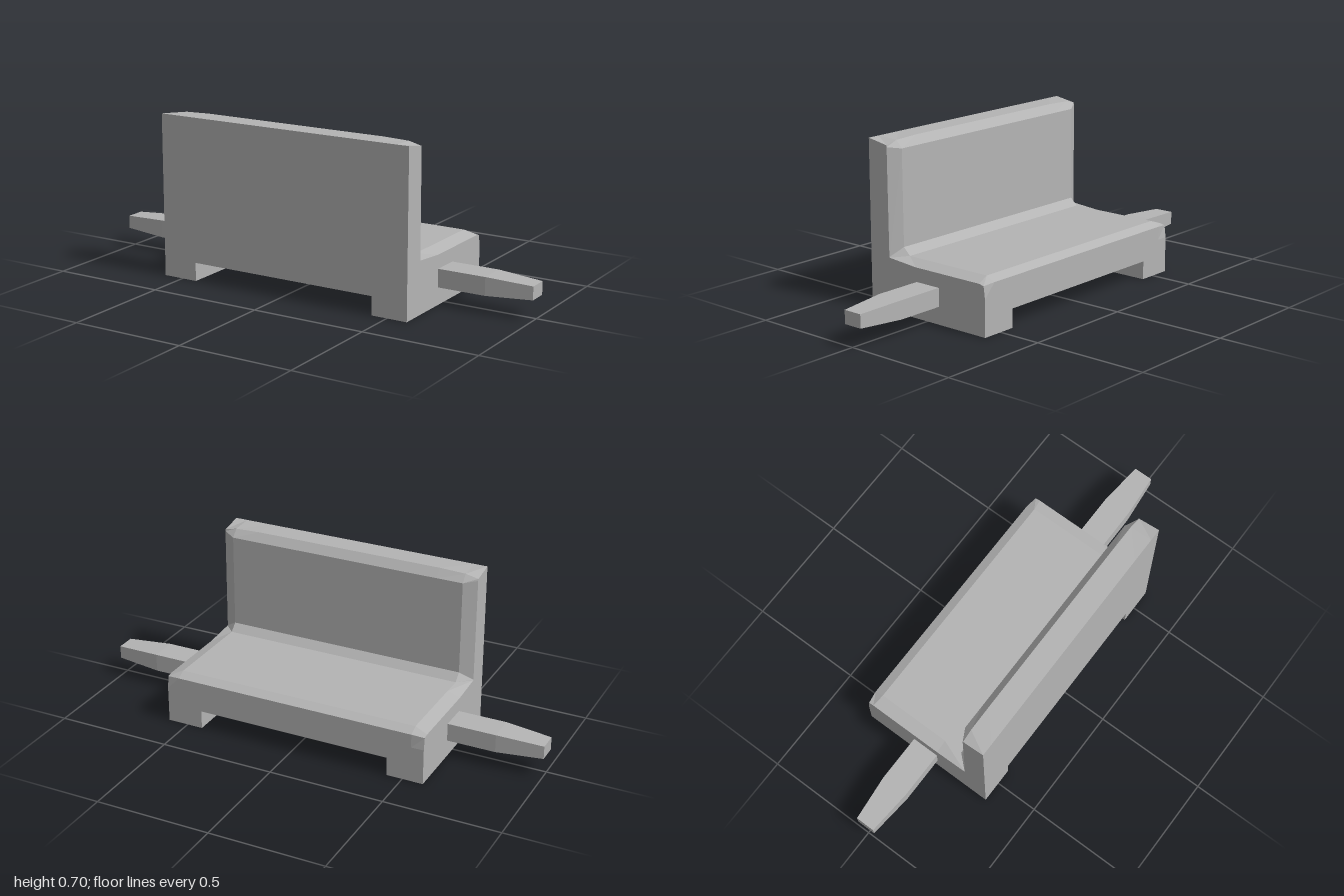
import * as THREE from 'three';

// Lofts sections [{x, profile: [[z, y], ...]}] along +x; profiles run clockwise seen from +x.
function loft(sections) {
  const pos = [];
  const put = (s, j) => pos.push(s.x, s.profile[j][1], s.profile[j][0]);
  const n = sections[0].profile.length;
  for (let i = 0; i < sections.length - 1; i++) {
    const p = sections[i], q = sections[i + 1];
    for (let j = 0; j < n; j++) {
      const k = (j + 1) % n;
      put(p, j); put(q, j); put(q, k);
      put(p, j); put(q, k); put(p, k);
    }
  }
  // End caps, wound to face outwards
  for (const [s, side] of [[sections[0], -1], [sections[sections.length - 1], 1]]) {
    const pts = s.profile.map(([z, y]) => new THREE.Vector2(-z, y));
    for (const [a, b, c] of THREE.ShapeUtils.triangulateShape(pts, [])) {
      const area = THREE.ShapeUtils.area([pts[a], pts[b], pts[c]]);
      (area * side > 0 ? [a, b, c] : [a, c, b]).forEach((j) => put(s, j));
    }
  }
  const g = new THREE.BufferGeometry();
  g.setAttribute('position', new THREE.Float32BufferAttribute(pos, 3));
  g.computeVertexNormals();
  return g;
}

// Rectangular section centred on the arm axis
function rect(x, w, h, cz = -0.005, cy = 0.114) {
  return { x, profile: [[cz + w / 2, cy - h / 2], [cz + w / 2, cy + h / 2], [cz - w / 2, cy + h / 2], [cz - w / 2, cy - h / 2]] };
}

export function createModel() {
  const group = new THREE.Group();
  const grey = new THREE.MeshStandardMaterial({ color: 0xb4b4b4, flatShading: true });
  grey.name = 'plain grey';
  const add = (name, geometry) => {
    const mesh = new THREE.Mesh(geometry, grey);
    mesh.name = name;
    group.add(mesh);
    return mesh;
  };

  // L-shaped seat and backrest: full profile in the middle, bevelled down at both ends
  const middle = [
    [0.31, 0.08], [0.31, 0.705], [0.21, 0.705], [0.18, 0.67], [0.178, 0.263], [0.145, 0.232],
    [0.06, 0.232], [-0.27, 0.232], [-0.31, 0.213], [-0.31, 0.155], [-0.31, 0.08],
  ];
  const shoulder = middle.map(([z, y], j) => (j === 2 ? [z, 0.701] : [z, y]));
  const end = [
    [0.31, 0.08], [0.31, 0.705], [0.212, 0.688], [0.21, 0.68], [0.207, 0.228], [0.205, 0.225],
    [0.06, 0.213], [-0.28, 0.213], [-0.303, 0.208], [-0.31, 0.155], [-0.31, 0.08],
  ];
  add('seatAndBackrest', loft([
    { x: -0.59, profile: end }, { x: -0.535, profile: shoulder }, { x: -0.42, profile: middle },
    { x: 0.42, profile: middle }, { x: 0.535, profile: shoulder }, { x: 0.59, profile: end },
  ]));

  // Runner feet and tapered side arms
  for (const [side, s] of [['left', 1], ['right', -1]]) {
    add(side + 'Foot', new THREE.BoxGeometry(0.16, 0.08, 0.62)).position.set(s * 0.51, 0.04, 0);
    const sections = [rect(s * 0.58, 0.121, 0.078), rect(s * 0.8, 0.121, 0.078), rect(s, 0.085, 0.057)];
    add(side + 'Arm', loft(s > 0 ? sections : sections.reverse()));
  }
  return group;
}
